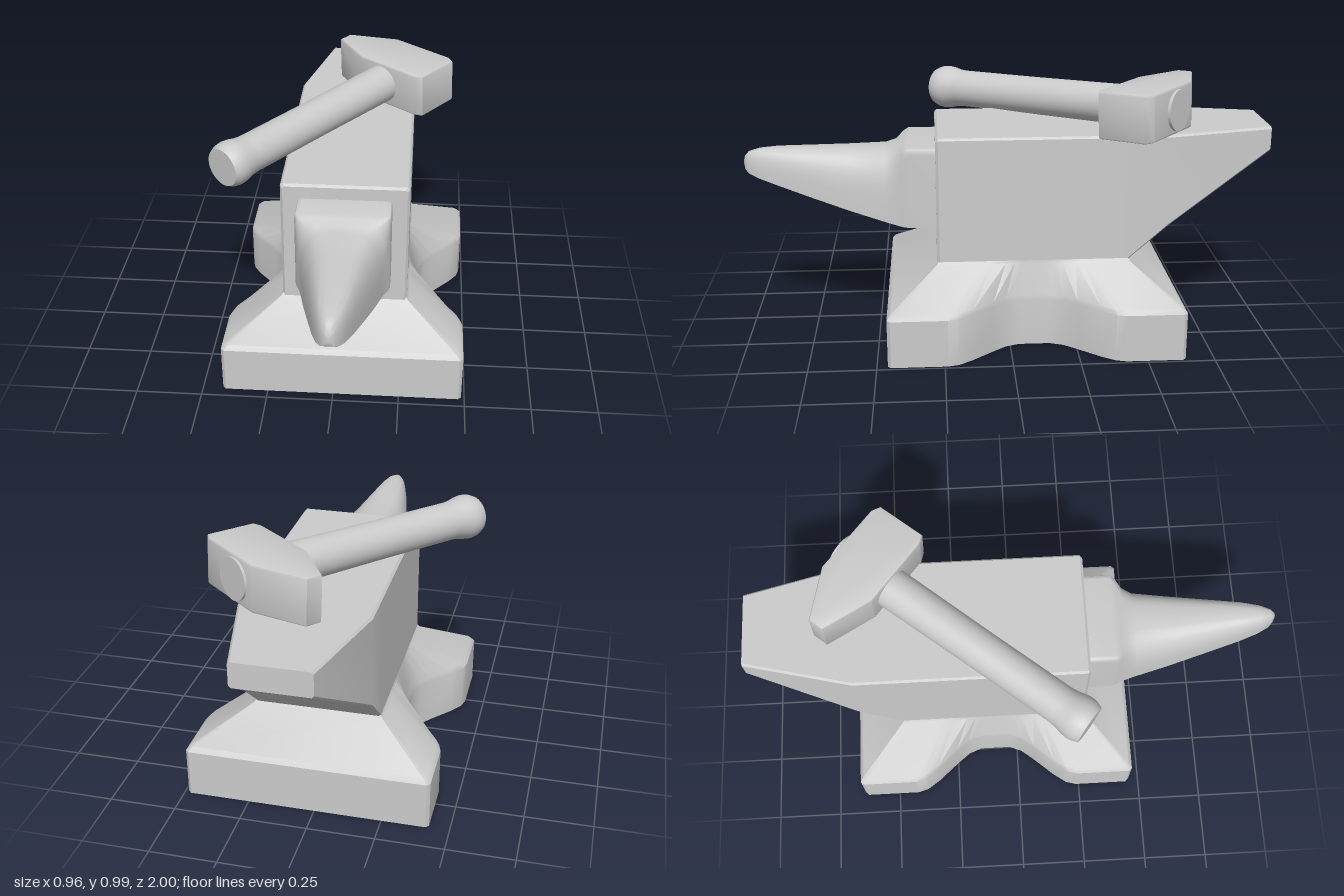
import * as THREE from 'three';
import { toCreasedNormals } from 'three/addons/utils/BufferGeometryUtils.js';

const material = new THREE.MeshStandardMaterial({ color: 0xcccccc });

function addMesh(parent, name, geometry) {
  const mesh = new THREE.Mesh(geometry, material);
  mesh.name = name;
  parent.add(mesh);
  return mesh;
}

// Skin closed rings of equal length and cap both ends with fans.
function loft(rings, crease = 0.6) {
  const n = rings[0].length;
  const points = rings.flat();
  const index = [];
  for (let i = 0; i < rings.length - 1; i++) {
    for (let j = 0; j < n; j++) {
      const k = (j + 1) % n;
      const a = i * n + j, b = i * n + k, c = b + n, d = a + n;
      index.push(a, b, c, a, c, d);
    }
  }
  for (const [row, flip] of [[0, true], [rings.length - 1, false]]) {
    const center = new THREE.Vector3();
    rings[row].forEach((p) => center.add(p));
    const c = points.push(center.divideScalar(n)) - 1;
    for (let j = 0; j < n; j++) {
      const a = row * n + j, b = row * n + (j + 1) % n;
      index.push(c, flip ? b : a, flip ? a : b);
    }
  }
  const geometry = new THREE.BufferGeometry().setFromPoints(points);
  geometry.setIndex(index);
  return toCreasedNormals(geometry, crease);
}

// Chamfered rectangle in the xy plane.
function boxRing(z, w, y0, y1, b = 0.008) {
  return [
    [w, y0 + b], [w, y1 - b], [w - b, y1], [b - w, y1],
    [-w, y1 - b], [-w, y0 + b], [b - w, y0], [w - b, y0],
  ].map(([x, y]) => new THREE.Vector3(x, y, z));
}

// Flat-bottomed arch; e near 0 is square, e = 1 is round.
function archRing(z, w, y0, y1, e) {
  const ring = [];
  for (let i = 0; i <= 20; i++) {
    const c = Math.cos((i / 20) * Math.PI), s = Math.sin((i / 20) * Math.PI);
    const x = i === 10 ? 0 : w * Math.sign(c) * Math.abs(c) ** e;
    const y = i % 20 === 0 ? y0 : y0 + (y1 - y0) * s ** e;
    ring.push(new THREE.Vector3(x, y, z));
  }
  return ring;
}

function buildAnvil() {
  const anvil = new THREE.Group();
  anvil.name = 'anvil';
  anvil.position.x = 0.032;

  // Foot: waisted outline that slopes up to the body.
  const half = [[0.54, 0.456], [0.33, 0.456], [0.29, 0.445], [0.24, 0.41], [0.16, 0.34],
    [0.11, 0.3], [0.06, 0.28]];
  const side = [[0.552, 0.444], ...half, ...half.map(([z, x]) => [-z, x]).reverse(), [-0.552, 0.444]];
  const outline = [...side, ...side.map(([z, x]) => [-z, -x])];
  const footRing = (y, t) => outline.map(([z, x]) => new THREE.Vector3(
    THREE.MathUtils.lerp(x, Math.sign(x) * 0.237, t),
    y,
    THREE.MathUtils.lerp(z, z * 0.652, t) - 0.092,
  ));
  addMesh(anvil, 'foot', loft([
    footRing(0, 0), footRing(0.182, 0), footRing(0.2, 0.07), footRing(0.315, 0.97), footRing(0.325, 1),
  ]));

  // Body and tapering heel.
  addMesh(anvil, 'body', loft([
    boxRing(-1, 0.14, 0.71, 0.803), boxRing(-0.6, 0.237, 0.45, 0.803),
    boxRing(-0.43, 0.237, 0.3, 0.803), boxRing(0.262, 0.237, 0.3, 0.803),
    boxRing(0.272, 0.228, 0.3, 0.795),
  ], 0.4));

  // Horn: square block easing into a rounded, rising point.
  addMesh(anvil, 'horn', loft([
    [0.25, 0.174, 0.442, 0.748, 0.06], [0.375, 0.174, 0.442, 0.748, 0.06],
    [0.395, 0.168, 0.443, 0.742, 0.15], [0.42, 0.158, 0.447, 0.727, 0.4],
    [0.46, 0.148, 0.457, 0.722, 0.6], [0.6, 0.122, 0.498, 0.721, 0.65],
    [0.75, 0.091, 0.546, 0.721, 0.65], [0.87, 0.066, 0.586, 0.721, 0.65],
    [0.94, 0.047, 0.609, 0.716, 0.7], [0.98, 0.029, 0.624, 0.705, 0.8],
    [0.995, 0.015, 0.638, 0.69, 0.9], [1, 0.004, 0.655, 0.672, 1],
  ].map((s) => archRing(...s)), 0.8));
  return anvil;
}

function buildHammer() {
  const hammer = new THREE.Group();
  hammer.name = 'hammer';
  hammer.position.set(0.21, 0.894, -0.52);
  hammer.rotation.set(0.045, -0.672, 0, 'YXZ');

  // Head: block with a wedge-shaped peen, seen in plan and extruded upward.
  const b = 0.008;
  const plan = [[-0.297, 0.03], [-0.297, -0.02], [-0.115, -0.106], [0.16, -0.1], [0.187, -0.085],
    [0.187, 0.095], [0.16, 0.106], [-0.115, 0.102]];
  const shape = new THREE.Shape(plan.map(([x, z]) => new THREE.Vector2(x, -z)));
  const head = new THREE.ExtrudeGeometry(shape, {
    depth: 0.176 - 2 * b, bevelEnabled: true, bevelSize: b, bevelThickness: b, bevelSegments: 2,
  });
  head.rotateX(-Math.PI / 2).translate(0, -0.088 + b, 0);
  addMesh(hammer, 'hammerHead', toCreasedNormals(head, 0.5));

  // Handle: passes through the head and swells at the grip end.
  const profile = [[0, -0.122], [0.077, -0.122], [0.076, 0.1], [0.073, 0.5], [0.073, 0.86],
    [0.076, 0.89], [0.083, 0.92], [0.086, 0.945], [0.083, 0.968], [0.073, 0.99], [0, 0.99]];
  const handle = new THREE.LatheGeometry(profile.map(([r, y]) => new THREE.Vector2(r, y)), 40);
  handle.rotateX(Math.PI / 2);
  addMesh(hammer, 'hammerHandle', toCreasedNormals(handle, 0.7)).position.x = -0.012;
  return hammer;
}

export function createModel() {
  const model = new THREE.Group();
  model.name = 'anvilAndHammer';
  model.add(buildAnvil(), buildHammer());
  return model;
}
